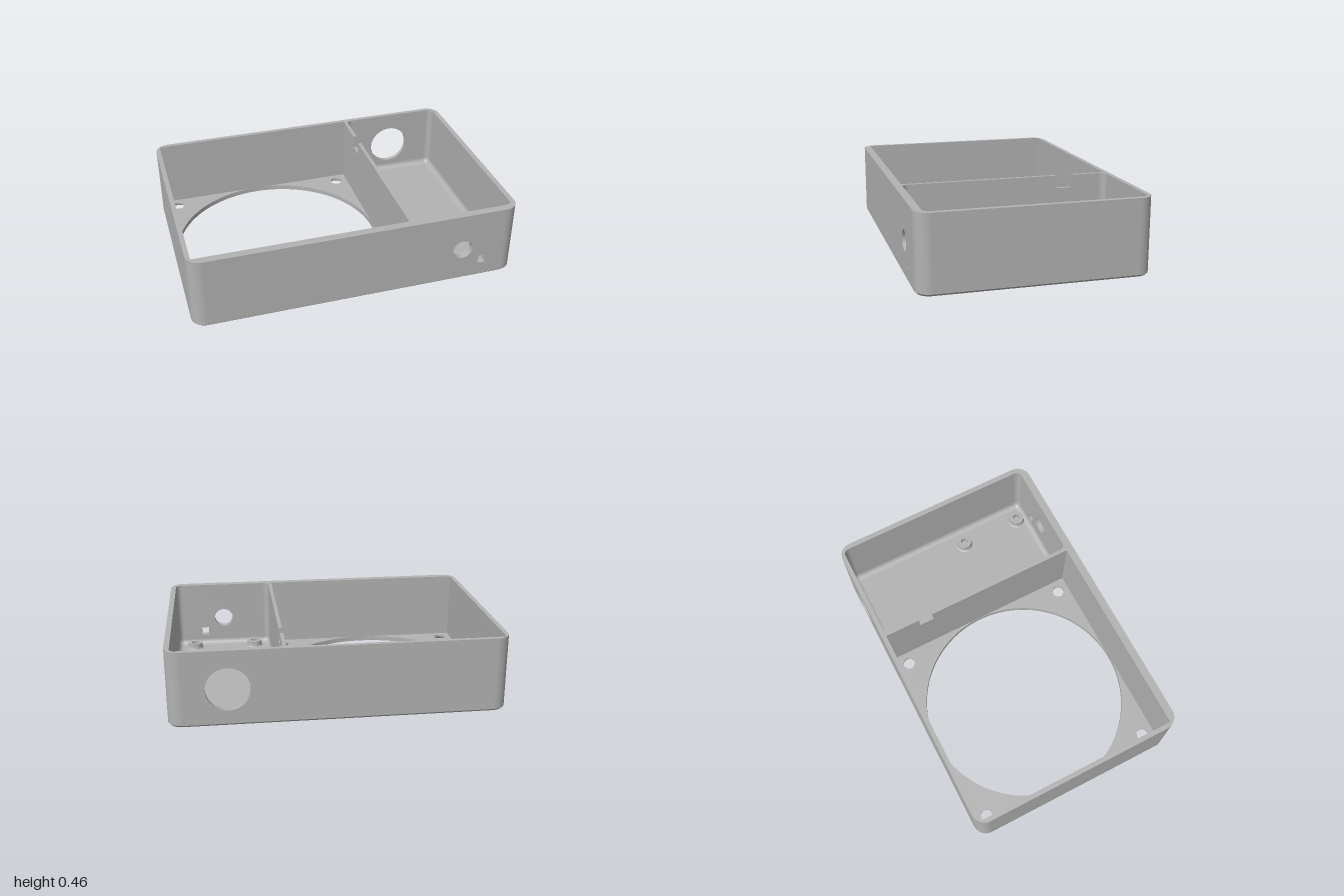
import * as THREE from 'three';
import { toCreasedNormals } from 'three/addons/utils/BufferGeometryUtils.js';

const H = 0.46, HX = 1, HZ = 0.677, R = 0.085, CH = 0.013, FLOOR = 0.03;
const fan = { x0: -0.972, x1: 0.311, z0: -0.65, z1: 0.629, cx: -0.331, cz: -0.011, r: 0.64 };
const bay = { x0: 0.333, x1: 0.968, z0: -0.65, z1: 0.629, r: 0.035 };

const plastic = new THREE.MeshStandardMaterial({ color: 0xb2b2b2, side: THREE.DoubleSide });
plastic.name = 'grey plastic';

function add(group, name, geometry) {
  const mesh = new THREE.Mesh(geometry, plastic);
  mesh.name = name;
  group.add(mesh);
  return mesh;
}

function polygon(points) {
  return new THREE.Shape(points.map(([x, y]) => new THREE.Vector2(x, y)));
}

function rect(x0, y0, x1, y1) {
  return polygon([[x0, y0], [x1, y0], [x1, y1], [x0, y1]]);
}

function circle(x, y, r) {
  return new THREE.Path().absarc(x, y, r, 0, Math.PI * 2);
}

function extrude(shape, depth) {
  return toCreasedNormals(
    new THREE.ExtrudeGeometry(shape, { depth, bevelEnabled: false, curveSegments: 32 }), 0.6);
}

// Rounded rectangle loop in plan, as [x, z] points
function roundedLoop(x0, z0, x1, z1, r, n = 10) {
  const points = [];
  [[x1 - r, z1 - r], [x0 + r, z1 - r], [x0 + r, z0 + r], [x1 - r, z0 + r]].forEach(([cx, cz], q) => {
    for (let i = 0; i <= n; i++) {
      const a = (q + i / n) * Math.PI / 2;
      points.push([cx + r * Math.cos(a), cz + r * Math.sin(a)]);
    }
  });
  return points;
}

// Skin joining closed plan loops at rising heights
function loft(rings) {
  const n = rings[0].points.length, position = [], index = [];
  rings.forEach(({ y, points }) => points.forEach(([x, z]) => position.push(x, y, z)));
  for (let k = 0; k < rings.length - 1; k++) {
    for (let i = 0; i < n; i++) {
      const a = k * n + i, b = k * n + (i + 1) % n;
      index.push(a, a + n, b, b, a + n, b + n);
    }
  }
  const geometry = new THREE.BufferGeometry();
  geometry.setAttribute('position', new THREE.Float32BufferAttribute(position, 3));
  geometry.setIndex(index);
  geometry.computeVertexNormals();
  return geometry;
}

export function createModel() {
  const model = new THREE.Group();
  model.name = 'enclosure';

  const screws = [];
  for (const x of [-0.897, 0.235]) for (const z of [-0.576, 0.554]) screws.push([x, z]);

  // Floor sheets, pierced by the fan opening and screw holes
  const sheet = (loop, screwRadius) => {
    const shape = polygon(loop.map(([x, z]) => [x, -z]));
    shape.holes.push(circle(fan.cx, -fan.cz, fan.r));
    screws.forEach(([x, z]) => shape.holes.push(circle(x, -z, screwRadius)));
    return new THREE.ShapeGeometry(shape, 48).rotateX(-Math.PI / 2);
  };
  const outer = roundedLoop(-HX, -HZ, HX, HZ, R);
  const inset = roundedLoop(-HX + CH, -HZ + CH, HX - CH, HZ - CH, R - CH);
  const underside = sheet(inset, 0.055);
  const idx = underside.index.array;
  for (let i = 0; i < idx.length; i += 3) [idx[i], idx[i + 1]] = [idx[i + 1], idx[i]];
  underside.computeVertexNormals();
  add(model, 'underside', underside);
  const inner = [[fan.x0, fan.z0], [bay.x1, fan.z0], [bay.x1, fan.z1], [fan.x0, fan.z1]];
  add(model, 'floor', sheet(inner, 0.037)).position.y = FLOOR;
  add(model, 'bottomChamfer', loft([{ y: 0, points: inset }, { y: CH, points: outer }]));

  // Fan opening rim and countersunk screw holes
  add(model, 'fanOpeningRim', new THREE.CylinderGeometry(fan.r, fan.r, FLOOR, 192, 1, true))
    .position.set(fan.cx, FLOOR / 2, fan.cz);
  const sink = [[0.055, 0], [0.037, 0.016], [0.037, FLOOR]].map(([x, y]) => new THREE.Vector2(x, y));
  screws.forEach(([x, z]) =>
    add(model, 'screwHole', toCreasedNormals(new THREE.LatheGeometry(sink, 32), 0.4)).position.set(x, 0, z));

  // Front wall with jack hole and small square port
  const front = rect(-HX + R, CH, HX - R, H);
  front.holes.push(circle(0.65, 0.218, 0.062), rect(0.758, 0.096, 0.806, 0.15));
  add(model, 'frontWall', extrude(front, HZ - fan.z1)).position.z = fan.z1;

  // Back wall with large cable hole
  const back = rect(-HX + R, CH, HX - R, H);
  back.holes.push(circle(0.65, 0.225, 0.13));
  add(model, 'backWall', extrude(back, HZ + fan.z0)).position.z = -HZ;

  // Side walls
  for (const [name, x0, x1] of [['rightWall', -HX, fan.x0], ['leftWall', bay.x1, HX]]) {
    add(model, name, new THREE.BoxGeometry(x1 - x0, H - CH, 2 * (HZ - R)))
      .position.set((x0 + x1) / 2, (H + CH) / 2, 0);
  }

  // Rounded outer corner posts
  for (const sx of [-1, 1]) for (const sz of [-1, 1]) {
    const ix = sx < 0 ? fan.x0 : bay.x1, iz = sz < 0 ? fan.z0 : fan.z1;
    const cx = sx * (HX - R), cz = sz * (HZ - R);
    const points = [[ix, cz], [ix, iz], [cx, iz]];
    for (let i = 0; i <= 12; i++) {
      const a = i / 12 * Math.PI / 2;
      points.push([cx + sx * R * Math.sin(a), cz + sz * R * Math.cos(a)]);
    }
    const post = extrude(polygon(points.map(([x, z]) => [x, -z])), H - CH).rotateX(-Math.PI / 2);
    add(model, 'cornerPost', post).position.y = CH;
  }

  // Divider with cable notch
  const divider = polygon([[fan.z0, FLOOR], [fan.z1, FLOOR], [fan.z1, H], [-0.33, H],
    [-0.33, H - 0.08], [-0.425, H - 0.08], [-0.425, H], [fan.z0, H]]);
  add(model, 'divider', extrude(divider, bay.x0 - fan.x1).rotateY(-Math.PI / 2)).position.x = bay.x0;

  // Cove around the electronics bay floor
  const rings = [];
  for (let i = 0; i <= 8; i++) {
    const a = i / 8 * Math.PI / 2, d = bay.r * (1 - Math.sin(a));
    rings.push({
      y: FLOOR + bay.r * (1 - Math.cos(a)),
      points: roundedLoop(bay.x0 + d, bay.z0 + d, bay.x1 - d, bay.z1 - d, Math.max(bay.r - d, 0.0005)),
    });
  }
  add(model, 'bayFloorCove', loft(rings));

  // Vertical corner fillets of the bay
  for (const [x, sx] of [[bay.x0, 1], [bay.x1, -1]]) for (const [z, sz] of [[bay.z0, 1], [bay.z1, -1]]) {
    const points = [[x, z]];
    for (let i = 0; i <= 8; i++) {
      const a = i / 8 * Math.PI / 2;
      points.push([x + sx * bay.r * (1 - Math.sin(a)), z + sz * bay.r * (1 - Math.cos(a))]);
    }
    const fillet = extrude(polygon(points.map(([u, v]) => [u, -v])), H - FLOOR - bay.r);
    add(model, 'bayCornerFillet', fillet.rotateX(-Math.PI / 2)).position.y = FLOOR + bay.r;
  }

  // Board standoffs with blind holes and flared feet
  const standoff = [[0.06, 0], [0.053, 0.003], [0.049, 0.012], [0.049, 0.038], [0.024, 0.038], [0.024, 0.004], [0, 0.004]]
    .map(([x, y]) => new THREE.Vector2(x, y));
  for (const x of [0.443, 0.855]) for (const z of [0.147, 0.557]) {
    add(model, 'standoff', toCreasedNormals(new THREE.LatheGeometry(standoff, 32), 0.7))
      .position.set(x, FLOOR, z);
  }

  return model;
}
